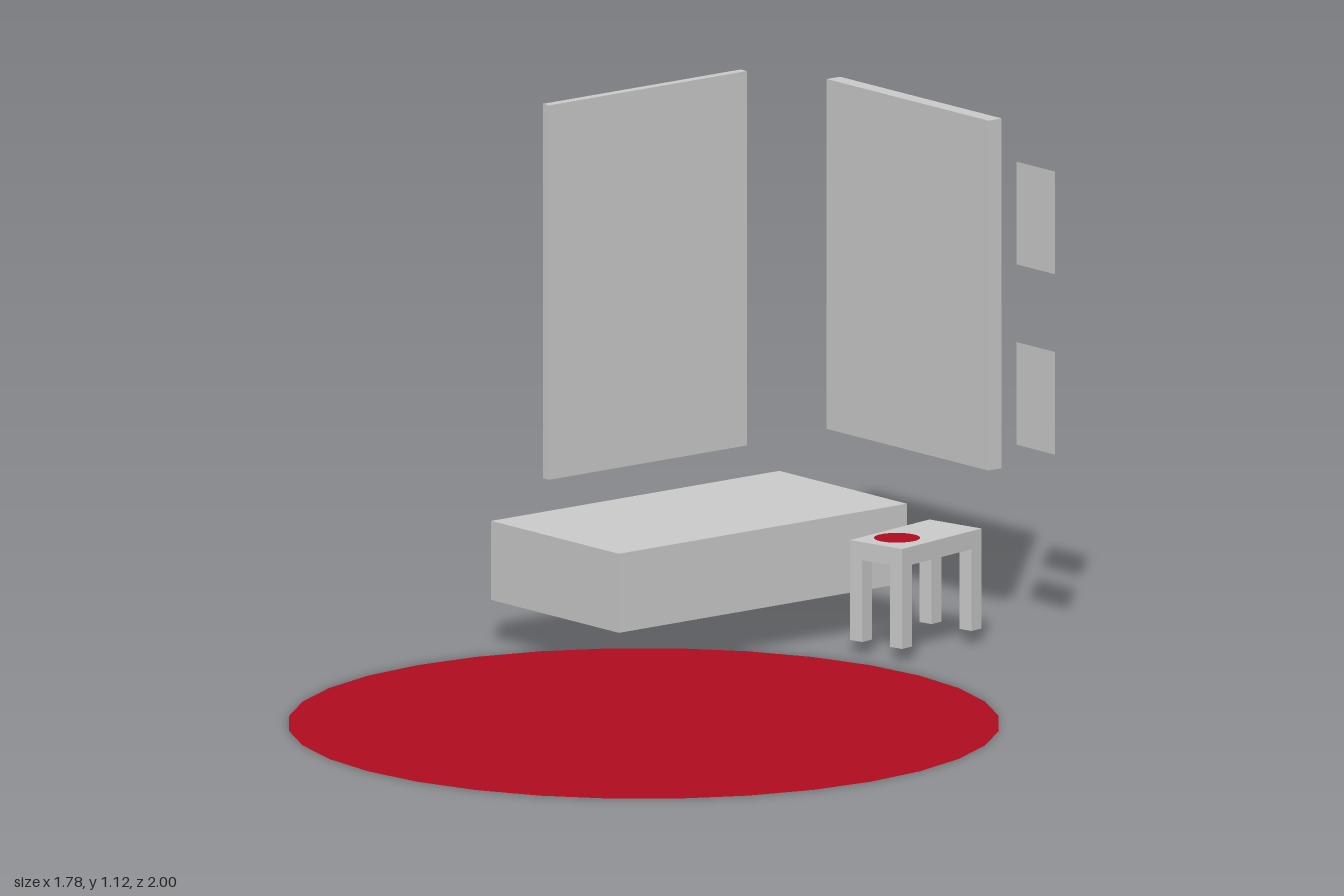
import * as THREE from 'three';

const grey = new THREE.MeshStandardMaterial({ color: 0xcccccc, flatShading: true });
const greySheet = new THREE.MeshStandardMaterial({ color: 0xcccccc, side: THREE.DoubleSide });
const red = new THREE.MeshStandardMaterial({ color: 0xb00c1e, side: THREE.DoubleSide });

function add(parent, name, geometry, material, x, y, z) {
  const mesh = new THREE.Mesh(geometry, material);
  mesh.name = name;
  mesh.position.set(x, y, z);
  parent.add(mesh);
  return mesh;
}

// Box given by its lower and upper corners
function addBox(parent, name, [x0, y0, z0], [x1, y1, z1]) {
  const geometry = new THREE.BoxGeometry(x1 - x0, y1 - y0, z1 - z0);
  return add(parent, name, geometry, grey, (x0 + x1) / 2, (y0 + y1) / 2, (z0 + z1) / 2);
}

// Flat horizontal disc
function addDisc(parent, name, radius, x, y, z) {
  const geometry = new THREE.CircleGeometry(radius, 32).rotateX(-Math.PI / 2);
  return add(parent, name, geometry, red, x, y, z);
}

// Bedside table, built around its own centre
function createTable() {
  const table = new THREE.Group();
  table.name = 'bedsideTable';
  const w = 0.145, d = 0.27, leg = 0.034;
  addBox(table, 'tableTop', [-w / 2, 0.21, -d / 2], [w / 2, 0.25, d / 2]);
  for (const sx of [-1, 1]) {
    for (const sz of [-1, 1]) {
      add(table, 'tableLeg', new THREE.BoxGeometry(leg, 0.18, leg), grey,
        sx * (w - leg) / 2, 0.12, sz * (d - leg) / 2);
    }
  }
  return table;
}

export function createModel() {
  const model = new THREE.Group();
  model.name = 'bedroom';

  // Floor
  addDisc(model, 'rug', 0.767, 0.119, 0, 0.23);

  // Bed
  addBox(model, 'mattress', [-0.703, 0.1, -0.822], [-0.27, 0.274, -0.02]);

  // Table with a small round mat on top
  const table = createTable();
  table.position.set(-0.104, 0, -0.71);
  table.rotation.y = 0.197;
  model.add(table);
  addDisc(model, 'tableMat', 0.05, -0.095, 0.252, -0.65);

  // Wall panels
  addBox(model, 'backPanel', [-0.714, 0.345, -1], [-0.166, 1.115, -0.963]);
  addBox(model, 'sidePanel', [-0.889, 0.296, -0.867], [-0.868, 1.12, -0.317]);

  // Two small pictures beside the back panel
  for (const y of [0.525, 0.922]) {
    add(model, 'wallPicture', new THREE.PlaneGeometry(0.13, 0.226), greySheet, -0.026, y, -0.98);
  }

  return model;
}
